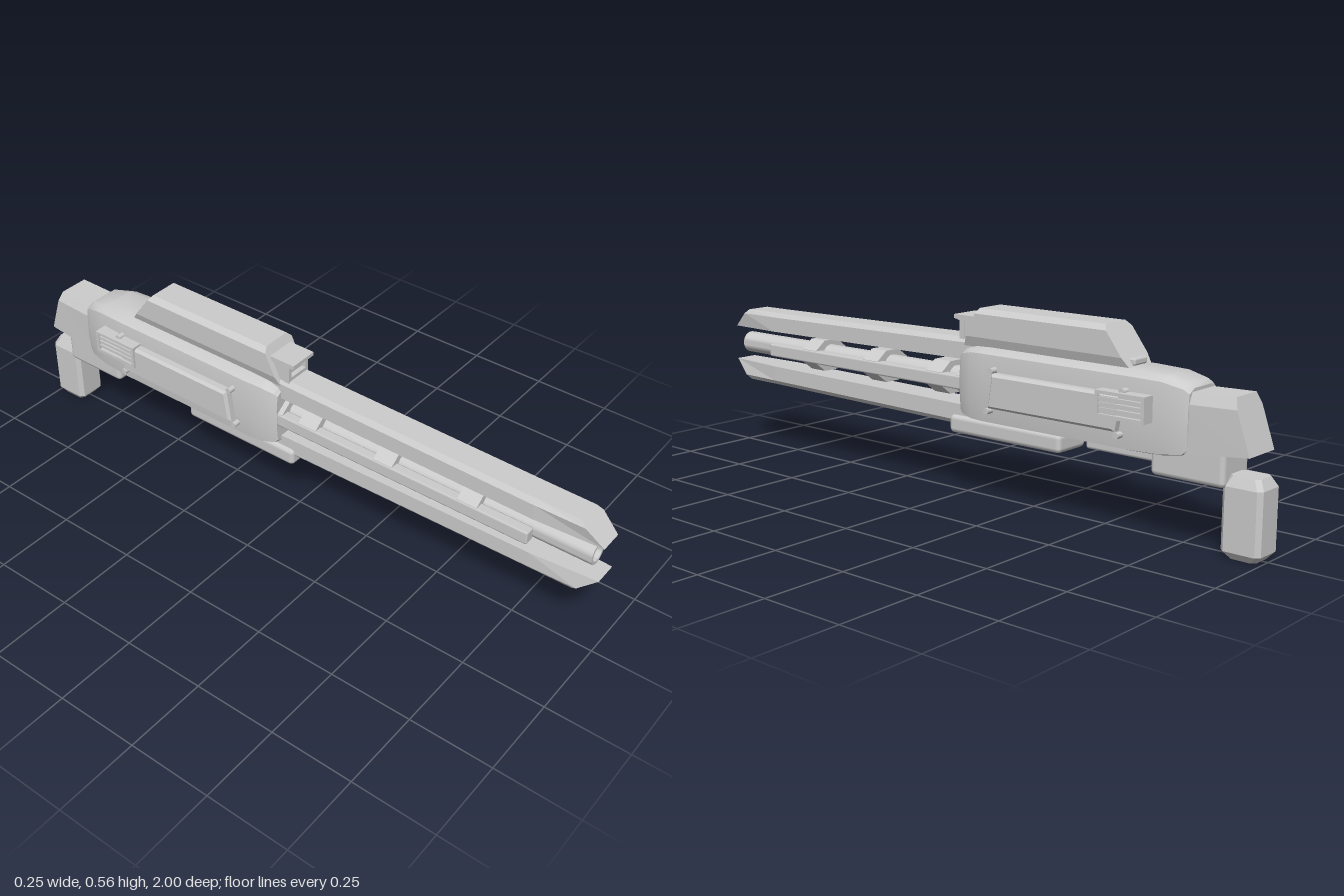
import * as THREE from 'three';
import { toCreasedNormals } from 'three/addons/utils/BufferGeometryUtils.js';
import { RoundedBoxGeometry } from 'three/addons/geometries/RoundedBoxGeometry.js';

// Skin through convex sections; each runs counter-clockwise seen from the end of the list
function loft(sections) {
  const pos = [];
  const tri = (a, b, c) => pos.push(...a, ...b, ...c);
  const n = sections[0].length;
  for (let i = 0; i < sections.length - 1; i++) {
    const a = sections[i], b = sections[i + 1];
    for (let j = 0; j < n; j++) {
      const k = (j + 1) % n;
      tri(a[j], a[k], b[k]);
      tri(a[j], b[k], b[j]);
    }
  }
  const first = sections[0], last = sections[sections.length - 1];
  for (let j = 1; j < n - 1; j++) {
    tri(first[0], first[j + 1], first[j]);
    tri(last[0], last[j], last[j + 1]);
  }
  const g = new THREE.BufferGeometry();
  g.setAttribute('position', new THREE.Float32BufferAttribute(pos, 3));
  g.computeVertexNormals();
  return g;
}

// Section from half-width/height pairs (bottom to top), z leaning from zBottom to zTop
function section(zBottom, zTop, half) {
  const y0 = half[0][1], y1 = half[half.length - 1][1];
  const right = half.map(([x, y]) => [x, y, zBottom + (zTop - zBottom) * (y - y0) / (y1 - y0)]);
  return [...right, ...right.map(([x, y, z]) => [-x, y, z]).reverse()];
}

// Extrude an outline, optionally with a hole and a one-step bevel
function plate(points, depth, bevel = 0, hole = null) {
  const shape = new THREE.Shape(points.map(p => new THREE.Vector2(...p)));
  if (hole) shape.holes.push(new THREE.Path(hole.map(p => new THREE.Vector2(...p))));
  const g = new THREE.ExtrudeGeometry(shape, {
    depth: depth - 2 * bevel, bevelEnabled: bevel > 0, bevelThickness: bevel,
    bevelSize: bevel, bevelOffset: -bevel, bevelSegments: 1,
  });
  g.translate(0, 0, bevel);
  return g;
}

// The same from a (z, y) outline, reaching from x0 to x1
function sidePlate(points, x0, x1, bevel, hole) {
  const g = plate(points, x1 - x0, bevel, hole);
  g.rotateY(-Math.PI / 2);
  g.translate(x1, 0, 0);
  return g;
}

const rect = (a0, a1, y0, y1) => [[a0, y0], [a1, y0], [a1, y1], [a0, y1]];

export function createModel() {
  const model = new THREE.Group();
  model.name = 'longGun';
  const grey = new THREE.MeshStandardMaterial({ color: 0xcccccc });
  grey.name = 'grey';

  const add = (name, geometry, x = 0, y = 0, z = 0) => {
    const mesh = new THREE.Mesh(geometry, grey);
    mesh.name = name;
    mesh.position.set(x, y, z);
    model.add(mesh);
    return mesh;
  };
  // Rounded block given by half-width and its y and z ranges
  const block = (name, w, y0, y1, z0, z1, r) =>
    add(name, new RoundedBoxGeometry(2 * w, y1 - y0, z1 - z0, 2, r), 0, (y0 + y1) / 2, (z0 + z1) / 2);

  // Receiver body, swelling from both ends
  const bodySection = (z, w, y0, y1) => section(z, z, [
    [w * 0.5, y0], [w * 0.94, y0 + 0.012], [w, y0 + 0.06],
    [w, y1 - 0.06], [w * 0.94, y1 - 0.014], [w * 0.6, y1]]);
  add('body', toCreasedNormals(loft([
    bodySection(-0.795, 0.068, 0.255, 0.425), bodySection(-0.78, 0.074, 0.242, 0.437),
    bodySection(-0.72, 0.084, 0.235, 0.45), bodySection(-0.62, 0.09, 0.233, 0.453),
    bodySection(-0.13, 0.09, 0.233, 0.453), bodySection(-0.08, 0.085, 0.234, 0.451),
    bodySection(-0.04, 0.076, 0.243, 0.442), bodySection(-0.03, 0.07, 0.252, 0.433),
  ]), 0.5));

  // Upper and lower barrel rails with slanted tips
  const railSection = (z, y0, y1) => section(z, z, [[0.05, y0], [0.05, y1 - 0.014], [0.038, y1]]);
  const rail = loft([
    railSection(-0.06, 0.407, 0.47),
    railSection(0.8, 0.397, 0.458),
    section(1, 0.93, [[0.036, 0.395], [0.047, 0.443], [0.038, 0.457]]),
  ]);
  add('upperRail', rail);
  const lowerRail = add('lowerRail', rail, 0, 0.679, 0);
  lowerRail.rotation.z = Math.PI;

  // Hollow barrel
  const barrel = new THREE.LatheGeometry([
    [0.034, -0.05], [0.034, 0.97], [0.025, 0.97], [0.025, 0.8], [0, 0.8],
  ].map(p => new THREE.Vector2(...p)), 28);
  barrel.rotateX(Math.PI / 2);
  add('barrel', toCreasedNormals(barrel, 0.6), 0, 0.34, 0);

  // Octagonal collars clamping the rods to the barrel
  for (const z of [0.612, 0.338, 0.075, -0.045]) {
    const collar = new THREE.CylinderGeometry(0.07, 0.07, 0.062, 8).toNonIndexed();
    collar.rotateY(Math.PI / 8);
    collar.rotateX(Math.PI / 2);
    collar.scale(1, 0.75, 1);
    collar.computeVertexNormals();
    add('collar', collar, 0, 0.34, z);
  }

  // Top housing with sloped ends
  const housing = (z0, z1) => section(z0, z1, [[0.05, 0.448], [0.06, 0.478], [0.06, 0.545], [0.045, 0.56]]);
  add('topHousing', loft([housing(-0.605, -0.52), housing(-0.03, -0.085)]));
  block('housingCatch', 0.03, 0.455, 0.475, -0.605, -0.58, 0.006);

  // Front sight: hollow frame under a thin cap
  add('sightFrame', plate(rect(-0.043, 0.043, 0.455, 0.522), 0.02, 0, rect(-0.032, 0.032, 0.48, 0.516)), 0, 0, -0.025);
  add('sightBase', new THREE.BoxGeometry(0.084, 0.065, 0.07), 0, 0.488, -0.055);
  add('sightCap', sidePlate([[0.013, 0.522], [0.013, 0.533], [-0.09, 0.533], [-0.09, 0.518], [-0.005, 0.518]], -0.046, 0.046));

  // Rear cap
  const cap = (z0, z1, w, y0, y1) => section(z0, z1, [[w, y0], [w, y1 - 0.03], [w - 0.014, y1]]);
  add('rearCap', loft([cap(-0.97, -0.92, 0.061, 0.275, 0.42), cap(-0.76, -0.76, 0.065, 0.255, 0.415)]));

  // Underside blocks
  block('foreGrip', 0.062, 0.186, 0.24, -0.385, 0.02, 0.014);
  block('bellyPlate', 0.05, 0.215, 0.25, -0.7, -0.465, 0.008);
  block('gripMount', 0.062, 0.183, 0.285, -0.9, -0.68, 0.014);

  // Grip with chamfered corners and ends
  const c = 0.012;
  const gripSection = (w, z0, z1, y) => [
    [w - c, z0], [w, z0 + c], [w, z1 - c], [w - c, z1], [c - w, z1], [-w, z1 - c], [-w, z0 + c], [c - w, z0],
  ].reverse().map(([x, z]) => [x, y, z]);
  add('grip', loft([
    gripSection(0.036, -0.982, -0.902, 0), gripSection(0.049, -1, -0.885, 0.02),
    gripSection(0.049, -1, -0.885, 0.19), gripSection(0.036, -0.985, -0.9, 0.217),
  ]));

  // Details repeated on both flanks
  for (const s of [-1, 1]) {
    const flank = (name, points, x0, x1, bevel, hole) =>
      add(name, s > 0 ? sidePlate(points, x0, x1, bevel, hole) : sidePlate(points, -x1, -x0, bevel, hole));

    add('sideRod', new RoundedBoxGeometry(0.034, 0.041, 0.84, 1, 0.006), s * 0.051, 0.339, 0.38);
    flank('sidePanel', [[-0.17, 0.293], [-0.185, 0.393], [-0.62, 0.393], [-0.6, 0.293]], 0.08, 0.117, 0.008);

    // Slatted vent
    flank('ventFrame', rect(-0.7, -0.545, 0.328, 0.4), 0.08, 0.124, 0, rect(-0.69, -0.555, 0.338, 0.391));
    flank('ventBack', rect(-0.695, -0.55, 0.333, 0.396), 0.08, 0.112);
    for (let i = 0; i < 3; i++)
      add('ventSlat', new THREE.BoxGeometry(0.01, 0.009, 0.136), s * 0.116, 0.35 + i * 0.0145, -0.6225);

    // Panel bolts
    for (const [y, z] of [[0.399, -0.178], [0.283, -0.163], [0.401, -0.62], [0.283, -0.605]]) {
      const bolt = new THREE.CylinderGeometry(0.009, 0.009, 0.03, 12);
      bolt.rotateZ(Math.PI / 2);
      add('bolt', bolt, s * 0.096, y, z);
    }
  }
  return model;
}
